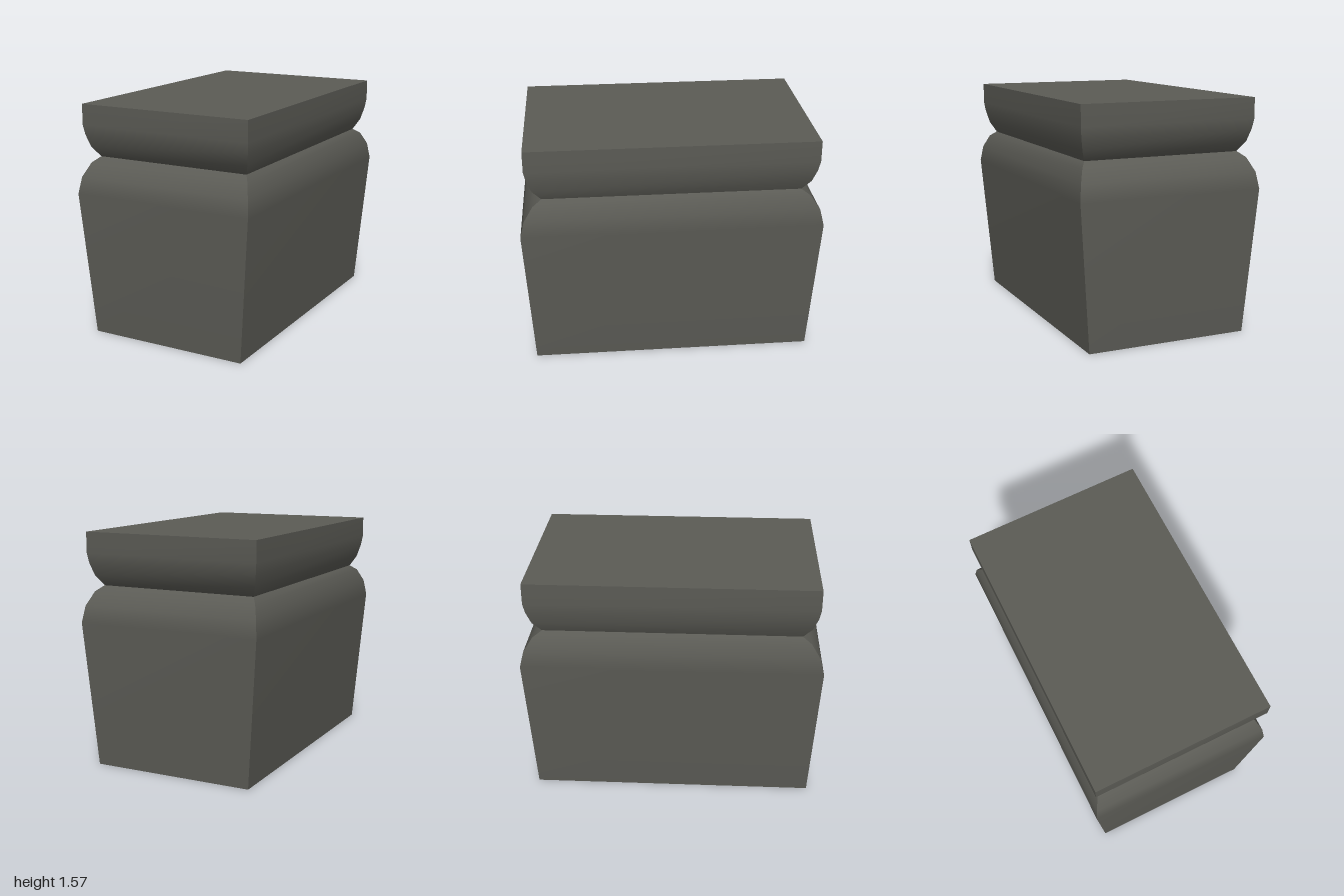
import * as THREE from 'three';

// Corner signs (x, z), counter-clockwise seen from above
const CORNERS = [[-1, 1], [1, 1], [1, -1], [-1, -1]];

// Stacks rectangles [halfX, halfZ, y]; walls are smooth upwards, sharp at the corners
function rectLoft(rings, capBottom, capTop) {
  const pos = [], idx = [];
  const add = ([hx, hz, y], c) => pos.push(CORNERS[c][0] * hx, y, CORNERS[c][1] * hz);
  for (let side = 0; side < 4; side++) {
    const start = pos.length / 3;
    for (const ring of rings) {
      add(ring, side);
      add(ring, (side + 1) % 4);
    }
    for (let i = 0; i < rings.length - 1; i++) {
      const a = start + i * 2;
      idx.push(a, a + 1, a + 3, a, a + 3, a + 2);
    }
  }
  const cap = (ring, order) => {
    const s = pos.length / 3;
    order.forEach(c => add(ring, c));
    idx.push(s, s + 1, s + 2, s, s + 2, s + 3);
  };
  if (capBottom) cap(rings[0], [3, 2, 1, 0]);
  if (capTop) cap(rings[rings.length - 1], [0, 1, 2, 3]);
  const geo = new THREE.BufferGeometry();
  geo.setAttribute('position', new THREE.Float32BufferAttribute(pos, 3));
  geo.setIndex(idx);
  geo.computeVertexNormals();
  return geo;
}

export function createModel() {
  const group = new THREE.Group();
  group.name = 'chest';
  const darkGrey = new THREE.MeshStandardMaterial({ color: 0x5b5b55 });
  darkGrey.name = 'dark grey';

  // Tapered body with rounded shoulders
  const body = new THREE.Mesh(rectLoft([
    [0.558, 0.95, 0], [0.635, 1.0, 0.975], [0.62, 0.973, 1.085],
    [0.584, 0.912, 1.175], [0.546, 0.853, 1.21],
  ], true, false), darkGrey);
  body.name = 'body';

  // Lid with a curved underside and flat top
  const lid = new THREE.Mesh(rectLoft([
    [0.546, 0.853, 1.21], [0.582, 0.91, 1.28], [0.602, 0.942, 1.365],
    [0.611, 0.955, 1.43], [0.611, 0.955, 1.57],
  ], false, true), darkGrey);
  lid.name = 'lid';

  group.add(body, lid);
  return group;
}
